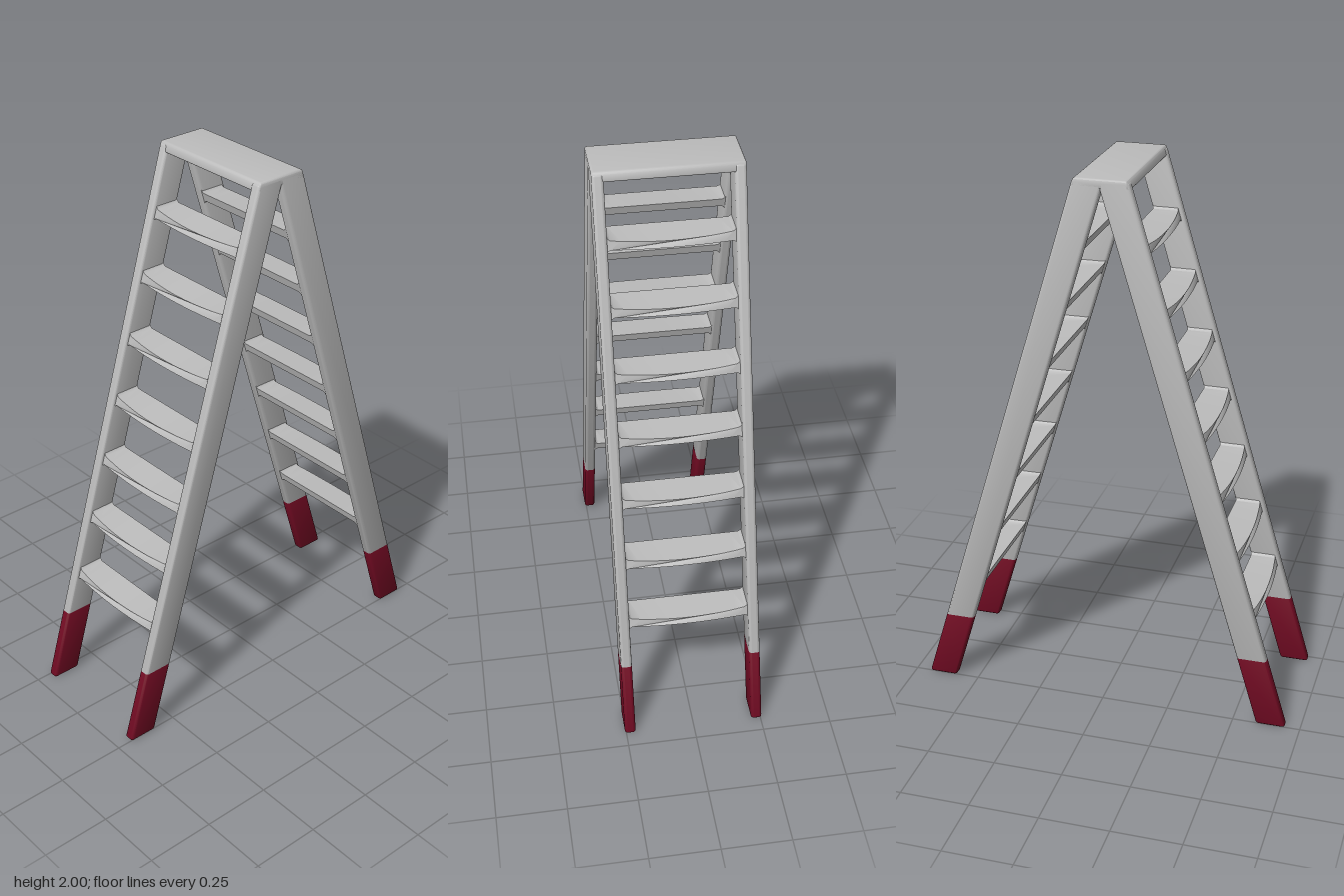
import * as THREE from 'three';
import { toCreasedNormals } from 'three/addons/utils/BufferGeometryUtils.js';
import { RoundedBoxGeometry } from 'three/addons/geometries/RoundedBoxGeometry.js';

const SLOPE = 0.3, DEPTH = 0.108, RAIL_W = 0.04, RAIL_X = 0.235, FOOT_TOP = 0.265;

// z of the outer face of a ladder side at height y
const outerZ = (y) => 0.695 - SLOPE * y;

// Move every vertex of a geometry by a rule, then rebuild the normals
function reshape(geo, rule) {
  const p = geo.attributes.position, v = new THREE.Vector3();
  for (let i = 0; i < p.count; i++) {
    rule(v.fromBufferAttribute(p, i));
    p.setXYZ(i, v.x, v.y, v.z);
  }
  return toCreasedNormals(geo, 0.5);
}

// Leaning bar with a rounded section; its end bevels reach just past y0 and y1
function leaningBar(y0, y1) {
  const w = RAIL_W / 2, d = DEPTH / 2, r = 0.011, s = new THREE.Shape();
  s.moveTo(-w + r, -d);
  s.lineTo(w - r, -d);
  s.absarc(w - r, -d + r, r, -Math.PI / 2, 0);
  s.absarc(w - r, d - r, r, 0, Math.PI / 2);
  s.absarc(-w + r, d - r, r, Math.PI / 2, Math.PI);
  s.absarc(-w + r, -d + r, r, Math.PI, Math.PI * 1.5);
  const geo = new THREE.ExtrudeGeometry(s, {
    depth: y1 - y0, curveSegments: 4,
    bevelSize: 0.008, bevelThickness: 0.008, bevelOffset: -0.008, bevelSegments: 3,
  });
  geo.rotateX(-Math.PI / 2);
  return reshape(geo, (v) => {
    v.y += y0;
    v.z += outerZ(v.y) - d;
  });
}

// Tread with flared ends, a bowed front edge and a front lip that dips in the middle
function treadGeometry(bottom) {
  const L = 0.219, N = 12, H = 0.032, depth = 0.104, s = new THREE.Shape();
  const xs = [-L, -0.213, -0.205];
  for (let i = 1; i < N; i++) xs.push(-0.205 + (0.41 * i) / N);
  xs.push(0.205, 0.213, L);
  const flare = (x) => Math.pow(Math.max(0, Math.abs(x) - 0.203) / 0.016, 2) * 0.012;
  xs.forEach((x, i) => (i ? s.lineTo(x, -flare(x)) : s.moveTo(x, -flare(x))));
  xs.reverse().forEach((x) => s.lineTo(x, H + flare(x)));
  const geo = new THREE.ExtrudeGeometry(s, { depth, steps: 1, bevelEnabled: false });
  return reshape(geo, (v) => {
    const bow = 1 - Math.pow(v.x / L, 2), front = v.z > depth / 2;
    if (front) {
      v.z -= 0.013 * (1 - bow);
      if (v.y > H / 2) v.y -= 0.009 * bow;
    }
    v.y += bottom;
    v.z += outerZ(v.y) - depth;
  });
}

export function createModel() {
  const metal = new THREE.MeshStandardMaterial({ color: 0xbcbcbc });
  metal.name = 'light grey metal';
  const rubber = new THREE.MeshStandardMaterial({ color: 0x700a22 });
  rubber.name = 'dark red rubber';

  const model = new THREE.Group();
  model.name = 'stepladder';
  const add = (parent, geo, mat, name) => {
    const m = new THREE.Mesh(geo, mat);
    m.name = name;
    parent.add(m);
    return m;
  };

  const railGeo = leaningBar(FOOT_TOP, 1.986);
  const footGeo = leaningBar(0.008, FOOT_TOP);
  const treads = [];
  for (let i = 0; i < 7; i++) treads.push(treadGeometry(0.41 + 0.2225 * i));

  // The two climbing sides are the same, turned half a circle
  for (const [name, turn] of [['frontSide', 0], ['backSide', Math.PI]]) {
    const side = new THREE.Group();
    side.name = name;
    side.rotation.y = turn;
    for (const sx of [-1, 1]) {
      const label = sx > 0 ? 'left' : 'right';
      add(side, railGeo, metal, label + 'Rail').position.x = sx * RAIL_X;
      add(side, footGeo, rubber, label + 'Foot').position.x = sx * RAIL_X;
    }
    treads.forEach((geo, i) => add(side, geo, metal, 'step' + (i + 1)));
    model.add(side);
  }

  // Top platform joining both sides, following the lean of the rails
  const top = new RoundedBoxGeometry(0.51, 0.034, 0.196, 3, 0.008);
  add(model, reshape(top, (v) => {
    v.z -= Math.sign(v.z) * SLOPE * v.y;
    v.y += 1.983;
  }), metal, 'topPlatform');

  return model;
}
